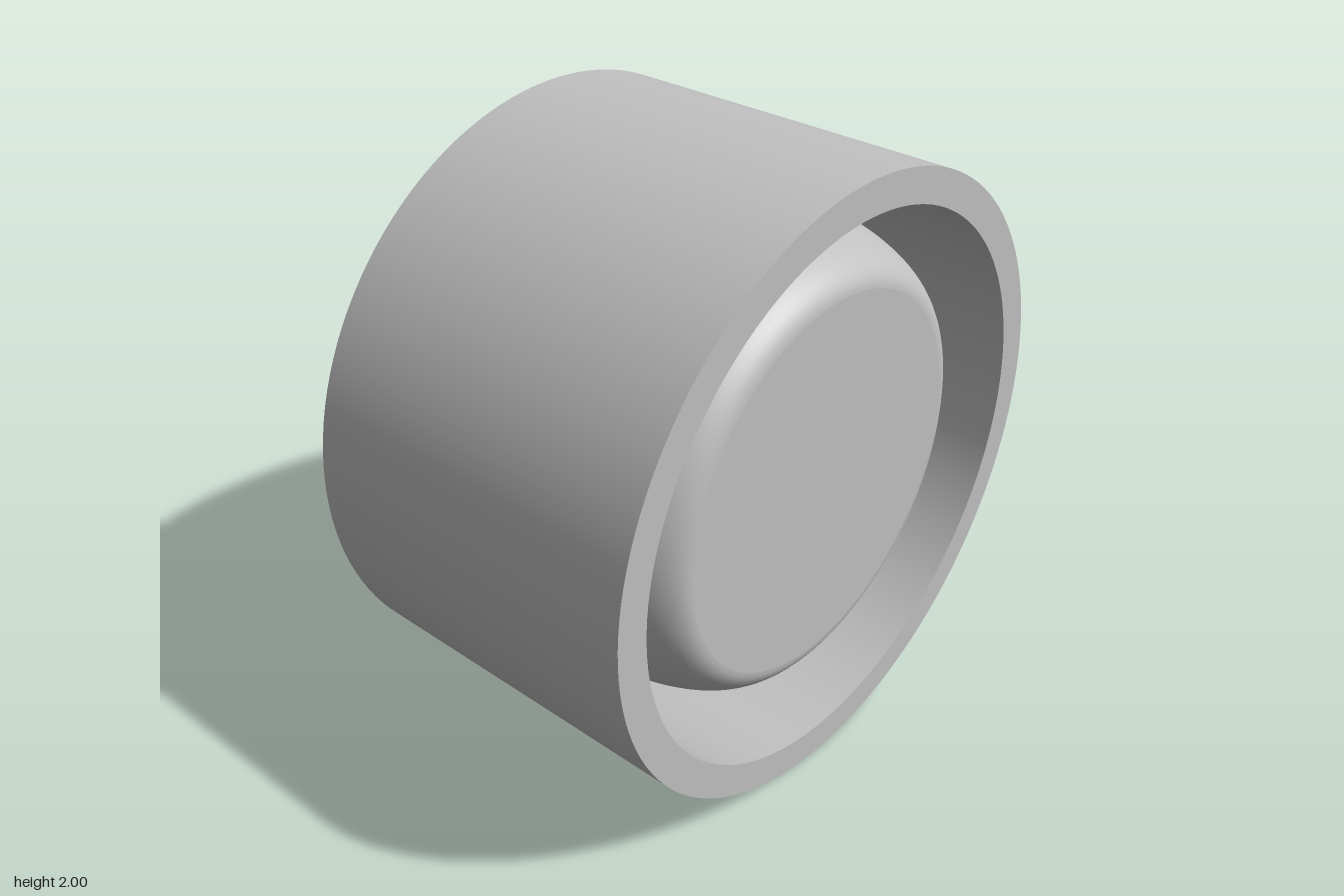
import * as THREE from 'three';

export function createModel() {
  const group = new THREE.Group();
  const grey = new THREE.MeshStandardMaterial({ color: 0xc0c0c0 });
  grey.name = 'grey';

  // Everything turns about one axis, laid along x with the open end at +x
  const body = new THREE.Group();
  body.name = 'cup';
  body.rotation.z = -Math.PI / 2;
  body.position.y = 1;
  group.add(body);

  // Each smooth surface is its own lathe, so the edges between them stay sharp
  const turned = (name, profile) => {
    const points = profile.map(([r, h]) => new THREE.Vector2(r, h));
    const mesh = new THREE.Mesh(new THREE.LatheGeometry(points, 128), grey);
    mesh.name = name;
    body.add(mesh);
  };

  const end = 0.593, floor = 0.02;      // half length, recess floor
  const inner = 0.89, flat = 0.62;      // recess radius, flat top radius
  const domeWidth = 0.18, domeHeight = 0.5;

  turned('closedEnd', [[0, -end], [1, -end]]);
  turned('outerWall', [[1, -end], [1, end]]);
  turned('rim', [[1, end], [inner, end]]);
  turned('innerWall', [[inner, end], [inner, floor]]);
  turned('recessFloor', [[inner, floor], [flat + domeWidth, floor]]);

  // Raised centre: a quarter-ellipse shoulder running into a flat top
  const shoulder = [];
  for (let i = 0; i <= 20; i++) {
    const a = (i / 20) * Math.PI / 2;
    shoulder.push([flat + domeWidth * Math.cos(a), floor + domeHeight * Math.sin(a)]);
  }
  turned('domeShoulder', shoulder);
  turned('domeTop', [[flat, floor + domeHeight], [0, floor + domeHeight]]);

  return group;
}
